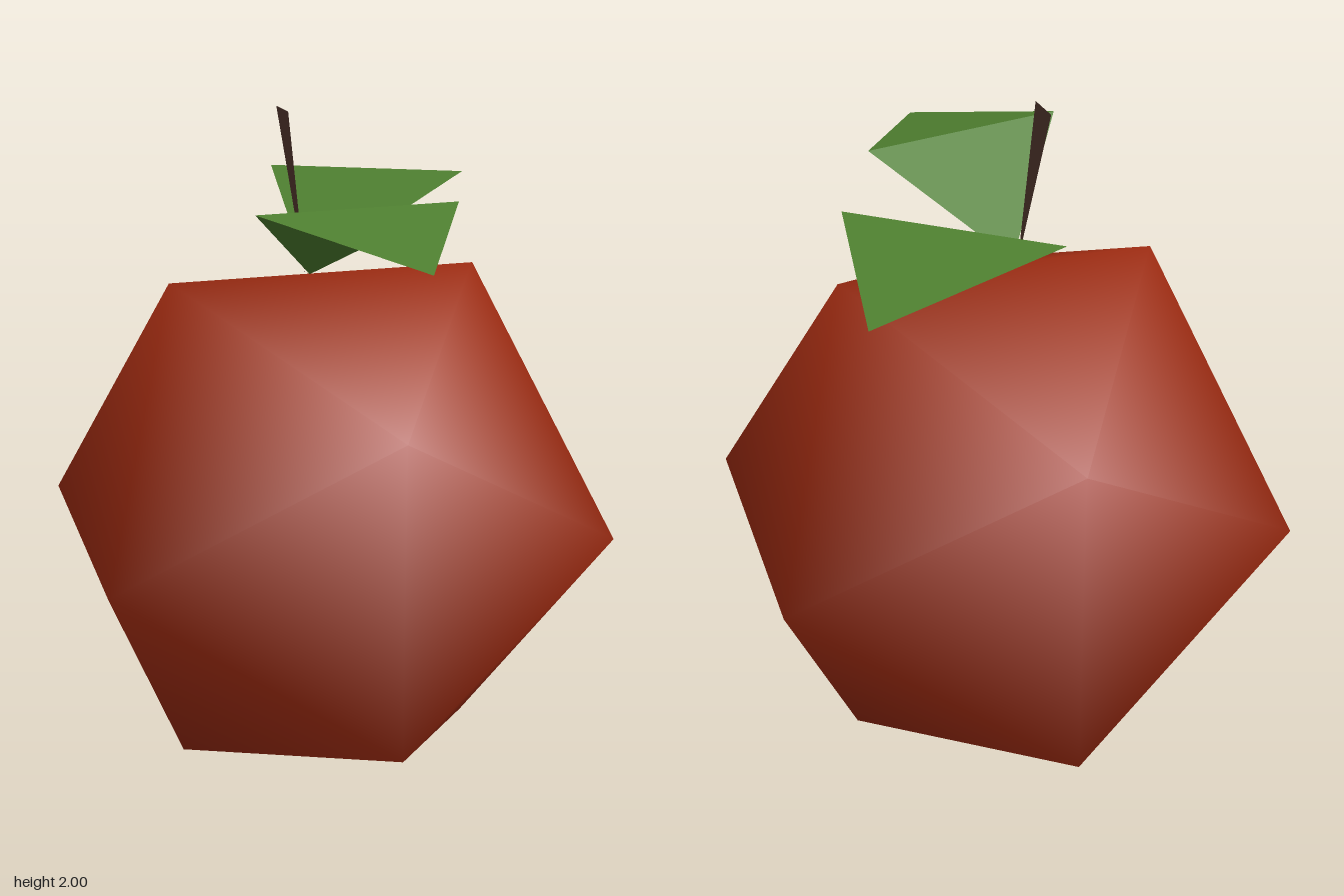
import * as THREE from 'three';

const material = (name, color, side = THREE.FrontSide) => {
  const m = new THREE.MeshStandardMaterial({ color, side });
  m.name = name;
  return m;
};

// Thin sheet made of corner points and triangles, one crisp facet per triangle
function sheet(name, corners, triangles, mat) {
  const geometry = new THREE.BufferGeometry();
  const points = triangles.map((i) => new THREE.Vector3(...corners[i]));
  geometry.setFromPoints(points);
  geometry.computeVertexNormals();
  const mesh = new THREE.Mesh(geometry, mat);
  mesh.name = name;
  return mesh;
}

export function createModel() {
  const group = new THREE.Group();
  group.name = 'fruit';

  const red = material('fruit red', 0xa02c12);
  const green = material('leaf green', 0x4f8030, THREE.DoubleSide);
  const brown = material('stem brown', 0x573a30, THREE.DoubleSide);

  // Body: icosahedron with smooth radial normals
  const bodyGeometry = new THREE.IcosahedronGeometry(0.895, 0);
  const position = bodyGeometry.attributes.position;
  const v = new THREE.Vector3();
  for (let i = 0; i < position.count; i++) {
    v.fromBufferAttribute(position, i).normalize();
    bodyGeometry.attributes.normal.setXYZ(i, v.x, v.y, v.z);
  }
  const body = new THREE.Mesh(bodyGeometry, red);
  body.name = 'body';
  body.position.set(0, 0.762, -0.06);
  group.add(body);

  // Leaves: base, two side corners and a drooping tip, folded across the middle
  const fold = [0, 1, 2, 1, 3, 2];
  group.add(sheet('frontLeaf', [
    [-0.05, 1.525, -0.045], [-0.33, 1.805, 0.41], [0.29, 1.783, 0.28], [0.02, 1.712, 0.815],
  ], fold, green));
  group.add(sheet('backLeaf', [
    [-0.05, 1.525, -0.065], [0.475, 1.782, -0.175], [-0.03, 1.765, -0.55], [0.535, 1.672, -0.705],
  ], fold, green));

  // Stem: a single narrow blade widening upward
  group.add(sheet('stem', [
    [-0.06, 1.525, -0.06], [-0.105, 2, -0.07], [-0.105, 2, -0.2],
  ], [0, 2, 1], brown));

  return group;
}
